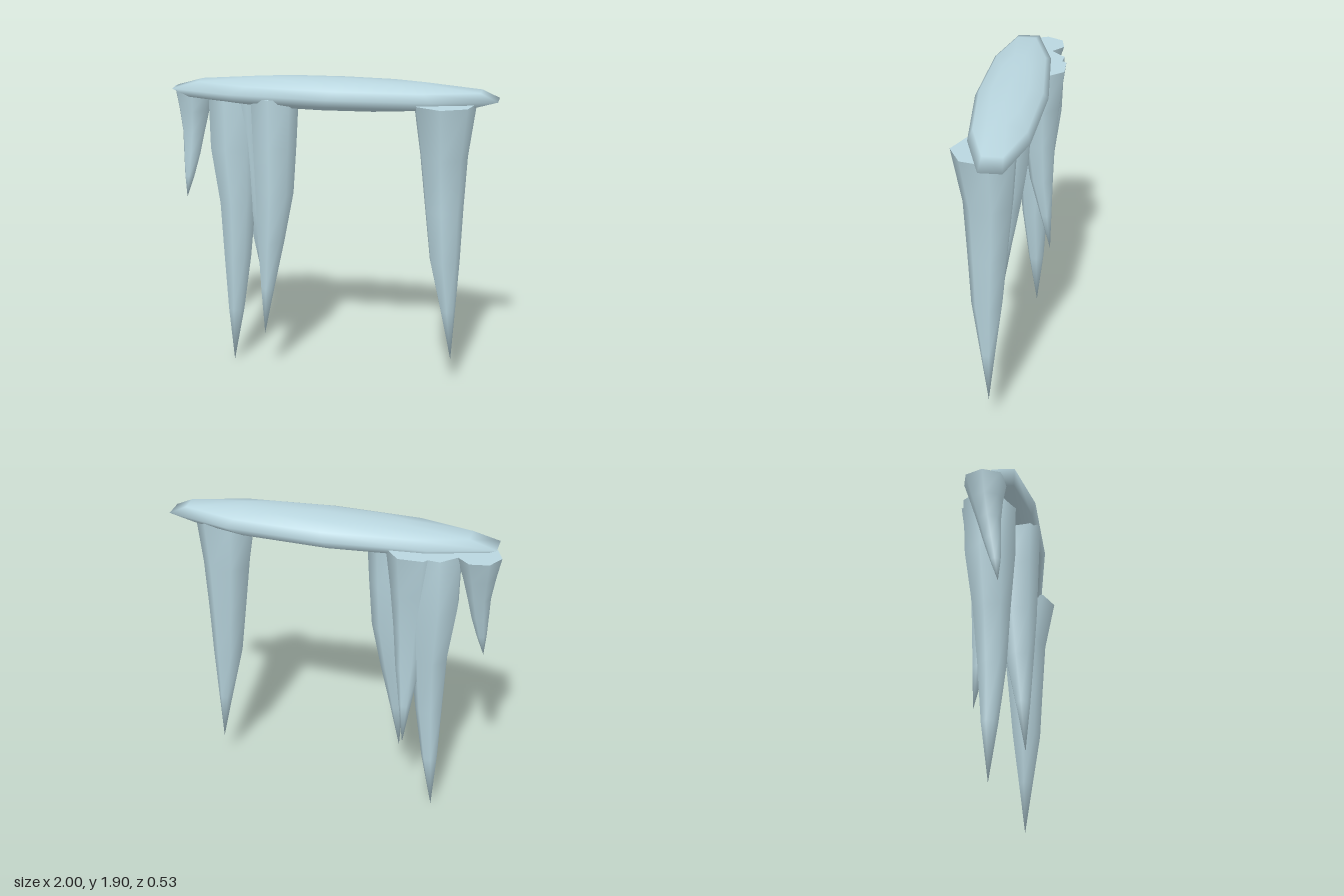
import * as THREE from 'three';
import { mergeVertices } from 'three/addons/utils/BufferGeometryUtils.js';

const SIDES = 7;
const TOP = 1.785;
const ice = new THREE.MeshStandardMaterial({ color: 0xb9d6df });
ice.name = 'pale ice';

// Tapered, slightly bent spike. rings: [centre x, centre z, radius] at even steps from top to tip.
// startDeg is the direction of one corner, measured from +x towards +z.
function makeIcicle(name, tipY, startDeg, rings) {
  const steps = rings.length - 1;
  const a = THREE.MathUtils.degToRad(startDeg);
  let side = new THREE.CylinderGeometry(1, 1, 1, SIDES, steps, true, Math.PI / 2 - a);
  const p = side.attributes.position;
  for (let i = 0; i < p.count; i++) {
    const t = 0.5 - p.getY(i);
    const [cx, cz, r] = rings[Math.round(t * steps)];
    p.setXYZ(i, cx + p.getX(i) * r, TOP + (tipY - TOP) * t, cz + p.getZ(i) * r);
  }
  side.deleteAttribute('uv');
  side.deleteAttribute('normal');
  side = mergeVertices(side);
  side.computeVertexNormals();

  // Flat cap closing the top
  const [x, z, r] = rings[0];
  const cap = new THREE.CircleGeometry(r, SIDES, -a);
  cap.rotateX(-Math.PI / 2);
  cap.translate(x, TOP, z);

  const group = new THREE.Group();
  group.name = name;
  const spike = new THREE.Mesh(side, ice);
  spike.name = name + 'Spike';
  const lid = new THREE.Mesh(cap, ice);
  lid.name = name + 'Cap';
  group.add(spike, lid);
  return group;
}

// Long flattened ten-sided ellipsoid, leaning slightly along x
function makeSlab() {
  let g = new THREE.SphereGeometry(1, 10, 6, Math.PI / 10);
  g.scale(1.03, 0.095, 0.215);
  const p = g.attributes.position;
  for (let i = 0; i < p.count; i++) p.setX(i, p.getX(i) + 0.6 * p.getY(i));
  g.translate(0.02, 1.805, 0);
  g.deleteAttribute('uv');
  g.deleteAttribute('normal');
  g = mergeVertices(g);
  g.computeVertexNormals();
  const slab = new THREE.Mesh(g, ice);
  slab.name = 'iceSlab';
  return slab;
}

export function createModel() {
  const model = new THREE.Group();
  model.name = 'hangingIcicles';
  model.add(
    makeSlab(),
    makeIcicle('longIcicle', 0, 200, [
      [-0.62, -0.1, 0.16], [-0.62, -0.095, 0.152], [-0.605, -0.085, 0.112],
      [-0.612, -0.08, 0.085], [-0.63, -0.09, 0.05], [-0.65, -0.095, 0]]),
    makeIcicle('leftIcicle', 0.18, 90, [
      [0.69, 0.07, 0.19], [0.69, 0.05, 0.145], [0.7, 0.055, 0.118],
      [0.713, 0.06, 0.093], [0.74, 0.055, 0.046], [0.765, 0.05, 0]]),
    makeIcicle('frontIcicle', 0.28, 90, [
      [-0.335, 0.045, 0.15], [-0.338, 0.045, 0.137], [-0.34, 0.05, 0.12],
      [-0.36, 0.065, 0.085], [-0.379, 0.085, 0.043], [-0.395, 0.1, 0]]),
    makeIcicle('backIcicle', 0.51, 295.7, [
      [-0.505, -0.117, 0.17], [-0.5, -0.115, 0.135], [-0.49, -0.122, 0.1],
      [-0.485, -0.135, 0.076], [-0.48, -0.165, 0.038], [-0.475, -0.195, 0]]),
    makeIcicle('smallIcicle', 1.1, 184, [
      [-0.87, -0.11, 0.13], [-0.875, -0.1, 0.096], [-0.878, -0.085, 0.069],
      [-0.887, -0.065, 0.052], [-0.9, -0.045, 0.03], [-0.915, -0.03, 0]]),
  );
  return model;
}
